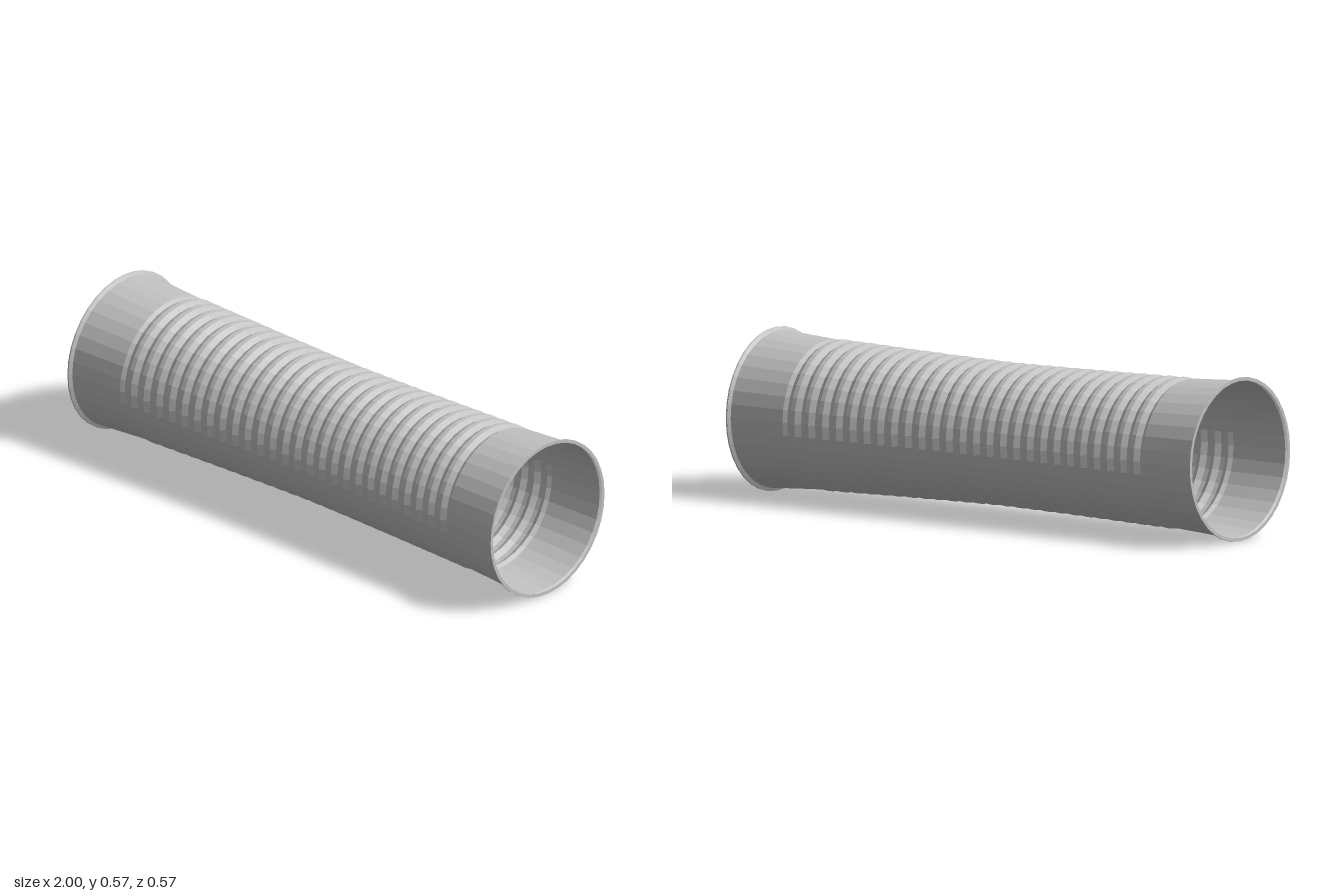
import * as THREE from 'three';

const SIDES = 36;
const AXIS_Y = 0.286;
const RIDGES = 26;
const BELLOWS_END = 0.76;

export function createModel() {
  const model = new THREE.Group();
  model.name = 'corrugatedTube';
  const grey = new THREE.MeshStandardMaterial({ color: 0xc2c2c2, side: THREE.DoubleSide, flatShading: true });
  grey.name = 'light grey';

  // Profile given as [x, radius] pairs, spun around the x axis
  const spin = (name, profile) => {
    const geometry = new THREE.LatheGeometry(profile.map(([x, r]) => new THREE.Vector2(r, x)), SIDES);
    geometry.rotateZ(-Math.PI / 2);
    const mesh = new THREE.Mesh(geometry, grey);
    mesh.name = name;
    return mesh;
  };

  // Ridged middle, slightly waisted towards the centre
  const crest = (x) => 0.247 + 0.015 * Math.pow(Math.abs(x) / BELLOWS_END, 1.3);
  const pitch = (2 * BELLOWS_END) / RIDGES;
  const ridges = [];
  for (let i = 0; i < RIDGES; i++) {
    const x = -BELLOWS_END + i * pitch;
    ridges.push([x, crest(x) - 0.011]);
    ridges.push([x + pitch * 0.35, crest(x + pitch * 0.35)]);
    ridges.push([x + pitch * 0.65, crest(x + pitch * 0.65)]);
  }
  ridges.push([BELLOWS_END, crest(BELLOWS_END) - 0.011]);
  model.add(spin('bellows', ridges));

  // Smooth end sleeves, each with a small flared lip
  for (const side of [1, -1]) {
    const end = new THREE.Group();
    end.name = side > 0 ? 'leftEnd' : 'rightEnd';
    end.add(spin('sleeve', [[BELLOWS_END, 0.251], [0.775, 0.259], [0.88, 0.265], [0.988, 0.272]]));
    end.add(spin('lip', [[0.988, 0.272], [0.995, 0.284], [1, 0.284], [1, 0.272]]));
    if (side < 0) end.rotation.y = Math.PI;
    model.add(end);
  }

  model.children.forEach((part) => { part.position.y = AXIS_Y; });
  return model;
}
